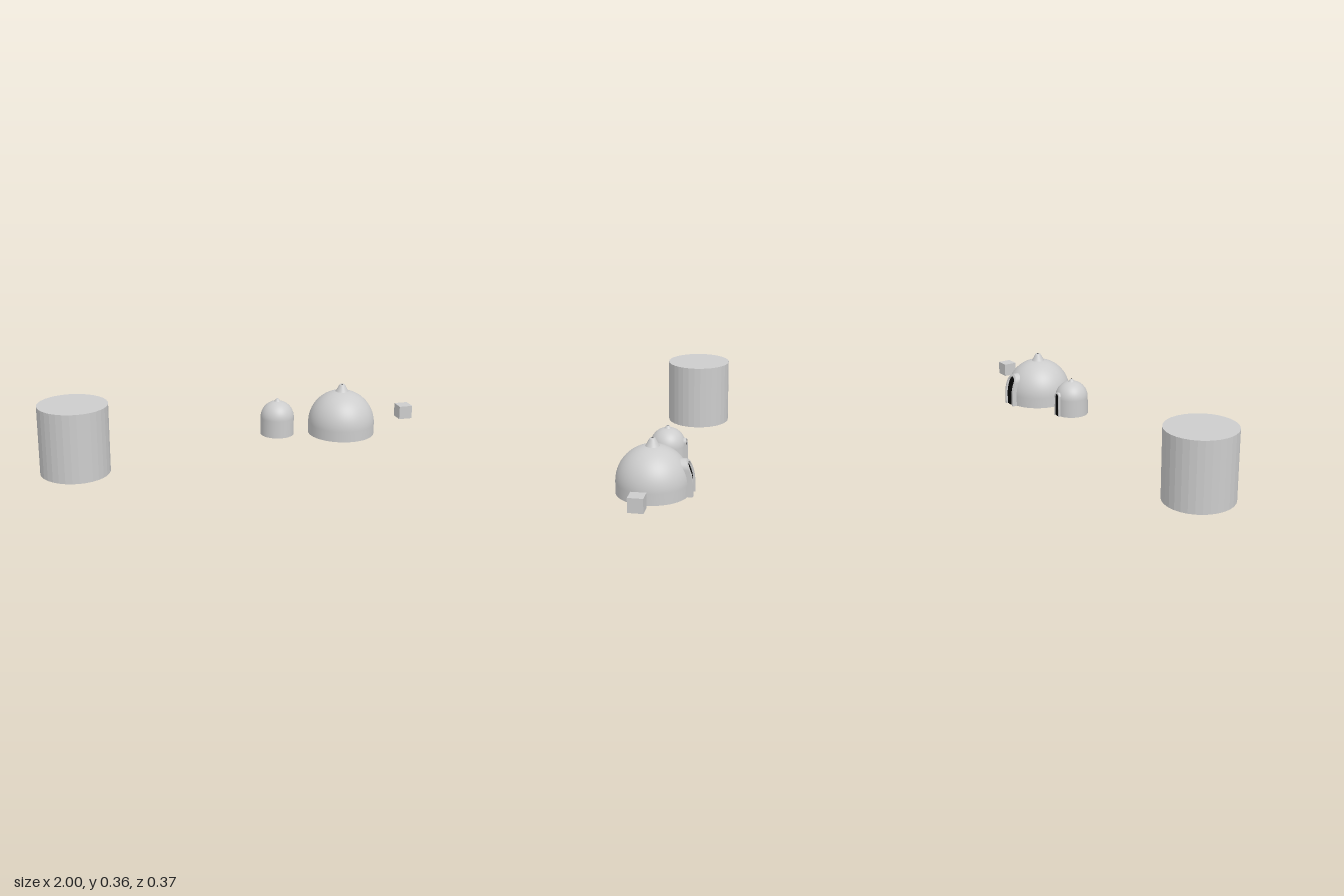
import * as THREE from 'three';
import { mergeGeometries } from 'three/addons/utils/BufferGeometryUtils.js';

const grey = new THREE.MeshStandardMaterial({ color: 0xcccccc, side: THREE.DoubleSide });
grey.name = 'light grey';
const black = new THREE.MeshStandardMaterial({ color: 0x050505, side: THREE.DoubleSide });
black.name = 'black';

function mesh(name, geometry, material = grey) {
  const m = new THREE.Mesh(geometry, material);
  m.name = name;
  return m;
}

// Surface joining two rows of points
function strip(a, b) {
  const pos = [], index = [];
  a.forEach((p, i) => {
    pos.push(...p, ...b[i]);
    if (i) {
      const k = 2 * i;
      index.push(k - 2, k - 1, k + 1, k - 2, k + 1, k);
    }
  });
  const g = new THREE.BufferGeometry();
  g.setAttribute('position', new THREE.Float32BufferAttribute(pos, 3));
  g.setIndex(index);
  g.computeVertexNormals();
  return g;
}

// Arch outline: up one side, round the top, down the other
function arch(half, base, top) {
  const pts = [], spring = top - half, n = 8;
  for (let i = 0; i < n; i++) pts.push([half, base + (spring - base) * i / n]);
  for (let i = 0; i <= 24; i++) {
    const t = Math.PI * i / 24;
    pts.push([half * Math.cos(t), spring + half * Math.sin(t)]);
  }
  for (let i = n - 1; i >= 0; i--) pts.push([-half, base + (spring - base) * i / n]);
  return pts;
}

// Domed hut with open base, finial and a hooded doorway at the back
function hut(name, d) {
  const g = new THREE.Group();
  g.name = name;

  // Straight wall running into a hemisphere
  const profile = [new THREE.Vector2(d.r, d.base)];
  for (let i = 0; i <= 24; i++) {
    const t = Math.PI / 2 * i / 24;
    profile.push(new THREE.Vector2(Math.max(d.r * Math.cos(t), 0), d.spring + d.r * Math.sin(t)));
  }
  g.add(mesh('dome', new THREE.LatheGeometry(profile, 48)));

  // Finial with a small dark vent
  const f = d.finial, y0 = d.spring + d.r - f * 0.12, h = d.top - y0;
  const cone = [[1, 0], [0.72, 0.42], [0.46, 0.88], [0.36, 1], [0, 1]]
    .map(([x, y]) => new THREE.Vector2(x * f, y0 + y * h));
  g.add(mesh('finial', new THREE.LatheGeometry(cone, 24)));
  const vent = mesh('vent', new THREE.CylinderGeometry(f * 0.12, f * 0.12, 0.001, 12), black);
  vent.position.y = d.top;
  g.add(vent);

  // Project an outline onto a dome of another radius, towards the back
  const project = (pts, R) => pts.map(([x, y]) => {
    const up = Math.max(0, y - d.spring);
    return [x, y, -Math.sqrt(Math.max(0, R * R - up * up - x * x))];
  });
  const outer = arch(d.half, d.base, d.doorTop);
  const inner = arch(d.half * 0.72, d.base, d.doorTop - d.half * 0.28);
  const R = d.r * 1.13, doorR = d.r * 1.07;
  g.add(mesh('doorHood', mergeGeometries([
    strip(project(outer, d.r * 0.98), project(outer, R)),
    strip(project(outer, R), project(inner, R)),
    strip(project(inner, R), project(inner, d.r * 0.98)),
  ])));

  // Dark doorway, in two mirrored halves
  const door = project(inner, doorR), middle = project(inner.map(([, y]) => [0, y]), doorR);
  g.add(mesh('doorway', strip(door, middle), black));

  g.position.set(d.x, 0, d.z);
  return g;
}

export function createModel() {
  const model = new THREE.Group();
  model.name = 'domeSet';

  // Faceted drum
  const drumGeo = new THREE.CylinderGeometry(0.178, 0.178, 0.357, 32).toNonIndexed();
  drumGeo.computeVertexNormals();
  const drum = mesh('drum', drumGeo);
  drum.position.set(-0.822, 0.1785, 0.011);
  model.add(drum);

  model.add(hut('smallHut', {
    x: 0.248, z: 0.004, r: 0.088, base: 0.11, spring: 0.202, top: 0.302,
    finial: 0.018, half: 0.022, doorTop: 0.24,
  }));
  model.add(hut('largeHut', {
    x: 0.605, z: 0.011, r: 0.176, base: 0.09, spring: 0.146, top: 0.356,
    finial: 0.035, half: 0.043, doorTop: 0.263,
  }));

  // Small floating cube
  const cube = mesh('cube', new THREE.BoxGeometry(0.072, 0.07, 0.072));
  cube.position.set(0.964, 0.18, 0.011);
  model.add(cube);
  return model;
}
